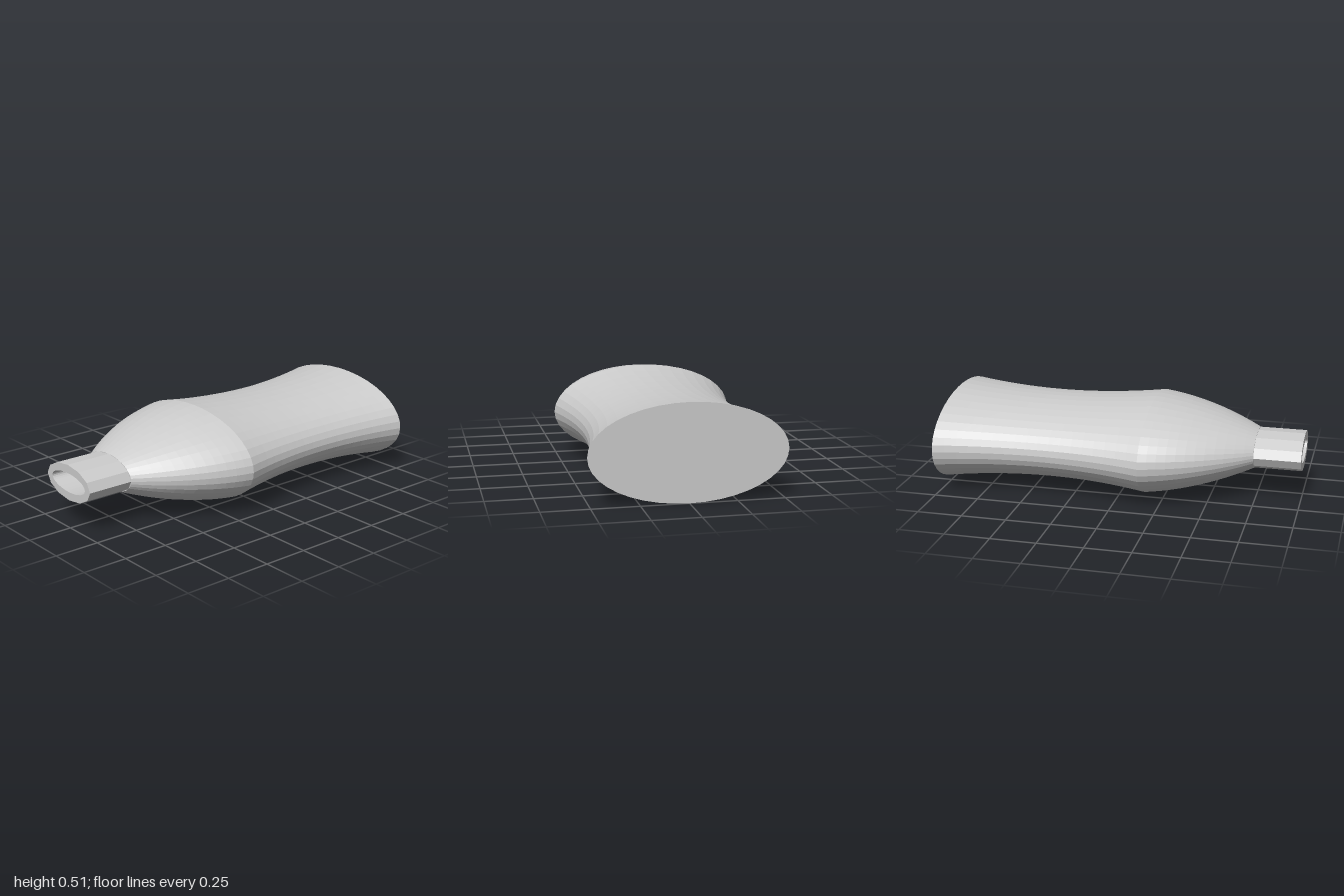
import * as THREE from 'three';

const CENTER_Y = 0.258; // height of the long axis
const WALL = 0.047;
const SIDES = 40;
const SHOULDER = 0.16, NECK = 0.74;

// Half width of the body at a position along its length
function radiusAt(z) {
  if (z > SHOULDER) {
    const t = (z - SHOULDER) / (NECK - SHOULDER);
    return 0.515 - 0.124 * t - 0.191 * t * t;
  }
  const u = (z + 0.42) / 0.58;
  return 0.44 + 0.075 * u * u;
}

// Points along the body side, from zStart to the neck
function sideProfile(zStart) {
  const points = [];
  for (let i = 0; i < 18; i++) {
    const z = zStart + (SHOULDER - zStart) * i / 18;
    points.push(new THREE.Vector2(radiusAt(z), z));
  }
  for (let i = 0; i <= 12; i++) {
    const z = SHOULDER + (NECK - SHOULDER) * i / 12;
    points.push(new THREE.Vector2(radiusAt(z), z));
  }
  return points;
}

// Revolve a profile around z, flatten it to half height, inset by the wall
function flattenedLathe(points, inset) {
  const geo = new THREE.LatheGeometry(points, SIDES);
  geo.rotateX(Math.PI / 2);
  const pos = geo.attributes.position;
  for (let i = 0; i < pos.count; i++) {
    const x = pos.getX(i), y = pos.getY(i);
    const r = Math.hypot(x, y);
    if (r < 1e-6) continue;
    pos.setXY(i, x / r * (r - inset), y / r * (r / 2 - inset));
  }
  geo.computeVertexNormals();
  return geo;
}

function ellipsePoints(rx, ry, sides) {
  const points = [];
  for (let i = 0; i < sides; i++) {
    const a = i / sides * Math.PI * 2;
    points.push(new THREE.Vector2(Math.cos(a) * rx, Math.sin(a) * ry));
  }
  return points;
}

export function createModel() {
  const group = new THREE.Group();
  group.name = 'flask';
  const material = new THREE.MeshStandardMaterial({ color: 0xcccccc, flatShading: true });

  const add = (name, geometry) => {
    const mesh = new THREE.Mesh(geometry, material);
    mesh.name = name;
    mesh.position.y = CENTER_Y;
    group.add(mesh);
    return mesh;
  };

  // Outer shell with flat base, closing in under the neck
  add('body', flattenedLathe([
    new THREE.Vector2(0, -1),
    ...sideProfile(-1),
    new THREE.Vector2(0.17, NECK),
  ], 0));

  // Hollow inside, reversed so that it faces inward
  add('cavity', flattenedLathe([
    ...sideProfile(-1 + WALL).reverse(),
    new THREE.Vector2(0, -1 + WALL),
  ], WALL));

  // Faceted neck with an oval mouth
  const ring = new THREE.Shape(ellipsePoints(0.2, 0.1, 12));
  ring.holes.push(new THREE.Path(ellipsePoints(0.2 - WALL, 0.1 - WALL, SIDES)));
  const neck = new THREE.ExtrudeGeometry(ring, { depth: 1 - NECK, bevelEnabled: false });
  neck.translate(0, 0, NECK);
  add('neck', neck);

  return group;
}
